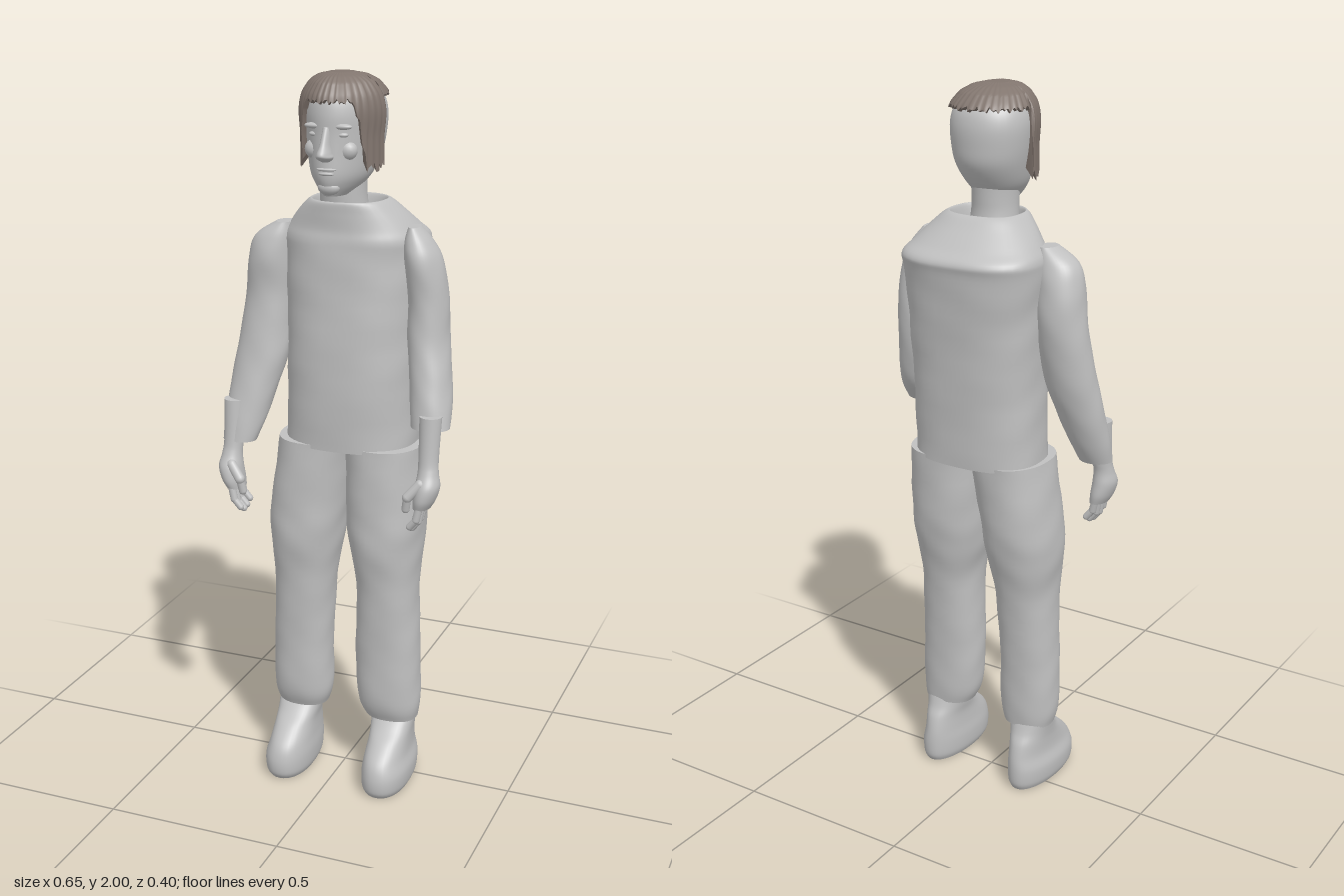
import * as THREE from 'three';

const grey = new THREE.MeshStandardMaterial({ color: 0xc0c0c0 });
grey.name = 'plain grey';
const brown = new THREE.MeshStandardMaterial({ color: 0x82766f, side: THREE.DoubleSide });
brown.name = 'hair brown';

// smooth interpolation of a list of cross-sections at index position t
function sectionAt(secs, t) {
  const i = Math.min(Math.floor(t), secs.length - 2), f = t - i;
  const at = k => secs[Math.max(0, Math.min(secs.length - 1, k))];
  return secs[0].map((_, c) => {
    const a = at(i - 1)[c], b = at(i)[c], d = at(i + 1)[c], e = at(i + 2)[c];
    return b + 0.5 * f * (d - a + f * (2 * a - 5 * b + 4 * d - e + f * (3 * (b - d) + e - a)));
  });
}

// point at angle a on a section [y, xMin, xMax, zMin, zMax]; +z is a = 90 degrees
function ringPoint([y, x0, x1, z0, z1], a, { power = 2, taper = 0, wrinkle = 0, grow = 0 } = {}) {
  const c = Math.cos(a), s = Math.sin(a);
  const bend = v => Math.sign(v) * Math.abs(v) ** (2 / power);
  const w = 1 + wrinkle * (Math.sin(y * 55 + 3 * Math.sin(2 * a)) + Math.sin(3 * a + y * 31));
  const rx = ((x1 - x0) / 2 + grow) * (1 - taper * s) * w, rz = ((z1 - z0) / 2 + grow) * w;
  return [(x0 + x1) / 2 + rx * bend(c), y, (z0 + z1) / 2 + rz * bend(s)];
}

function gridMesh(name, pos, rows, n, mat, caps) {
  const idx = [];
  for (let j = 0; j < rows; j++) {
    for (let i = 0; i < n; i++) {
      const a = j * n + i, b = j * n + (i + 1) % n;
      idx.push(a, a + n, b, b, a + n, b + n);
    }
  }
  // flat ends with their own vertices, so the rims stay crisp
  if (caps) {
    for (const row of [0, rows]) {
      const start = pos.length / 3, mid = [0, 0, 0];
      for (let i = 0; i < n; i++) {
        const p = pos.slice((row * n + i) * 3, (row * n + i) * 3 + 3);
        pos.push(...p);
        p.forEach((v, k) => { mid[k] += v / n; });
      }
      pos.push(...mid);
      for (let i = 0; i < n; i++) {
        const a = start + i, b = start + (i + 1) % n;
        if (row) idx.push(start + n, b, a); else idx.push(start + n, a, b);
      }
    }
  }
  const geo = new THREE.BufferGeometry();
  geo.setAttribute('position', new THREE.Float32BufferAttribute(pos, 3));
  geo.setIndex(idx);
  geo.computeVertexNormals();
  const mesh = new THREE.Mesh(geo, mat);
  mesh.name = name;
  return mesh;
}

// body through sections listed from the bottom up
function loft(name, secs, opts = {}) {
  const n = 40, rows = (secs.length - 1) * 6, pos = [];
  for (let j = 0; j <= rows; j++) {
    const sec = sectionAt(secs, j / 6);
    for (let i = 0; i < n; i++) pos.push(...ringPoint(sec, i / n * Math.PI * 2, opts));
  }
  return gridMesh(name, pos, rows, n, grey, true);
}

function blob(name, p, size) {
  const mesh = new THREE.Mesh(new THREE.SphereGeometry(1, 20, 12), grey);
  mesh.name = name;
  mesh.position.set(...p);
  mesh.scale.set(...size);
  return mesh;
}

function bone(name, from, to, r) {
  const a = new THREE.Vector3(...from), b = new THREE.Vector3(...to), d = b.clone().sub(a);
  const mesh = new THREE.Mesh(new THREE.CapsuleGeometry(r, d.length(), 5, 12), grey);
  mesh.name = name;
  mesh.position.copy(a).add(b).multiplyScalar(0.5);
  mesh.quaternion.setFromUnitVectors(new THREE.Vector3(0, 1, 0), d.normalize());
  return mesh;
}

const headSections = [
  [1.695, -.02, .04, .05, .14], [1.72, -.048, .068, -.015, .155], [1.75, -.068, .088, -.048, .162],
  [1.80, -.083, .103, -.08, .16], [1.85, -.092, .112, -.088, .158], [1.90, -.095, .115, -.088, .158],
  [1.94, -.086, .106, -.075, .149], [1.97, -.065, .085, -.043, .127],
  [1.985, -.04, .06, -.01, .104], [1.992, -.01, .03, .025, .075],
];

// hand hanging from the wrist at the origin, palm turned to -x
function makeHand(name) {
  const g = new THREE.Group();
  g.name = name;
  g.add(loft('palm', [
    [-.115, -.035, .012, -.025, .055], [-.09, -.034, .026, -.028, .062], [-.055, -.03, .036, -.024, .058],
    [-.02, -.026, .03, -.02, .04], [.02, -.027, .027, -.026, .03], [.13, -.03, .03, -.04, .02],
  ]));
  for (let i = 0; i < 4; i++) {
    const z = -.015 + i * .02, drop = [.0, .012, .016, .006][i];
    g.add(bone('finger', [-.008, -.1, z], [-.018, -.138 - drop, z + .002], .0105));
    g.add(bone('fingertip', [-.018, -.138 - drop, z + .002], [-.036, -.16 - drop, z], .0095));
  }
  g.add(bone('thumb', [-.01, -.045, .042], [-.04, -.08, .055], .014));
  g.add(bone('thumbTip', [-.04, -.08, .055], [-.046, -.115, .05], .011));
  return g;
}

function makeHead() {
  const g = new THREE.Group();
  g.name = 'head';
  g.add(loft('skull', headSections, { taper: .18 }));
  g.add(loft('neck', [[1.58, -.065, .085, -.05, .085], [1.66, -.055, .073, -.035, .095],
    [1.71, -.053, .07, -.035, .1], [1.77, -.055, .072, -.04, .1]]));
  g.add(loft('nose', [[1.786, -.002, .022, .13, .172], [1.797, -.011, .031, .13, .195],
    [1.808, -.008, .028, .13, .199], [1.83, -.003, .023, .13, .183], [1.872, 0, .02, .13, .162]]));
  for (const s of [-1, 1]) {
    g.add(blob('brow', [.01 + s * .036, 1.873, .141], [.029, .008, .013]));
    g.add(blob('eye', [.01 + s * .036, 1.852, .138], [.017, .007, .011]));
    g.add(blob('cheek', [.01 + s * .045, 1.812, .122], [.026, .025, .022]));
  }
  g.add(blob('upperLip', [.01, 1.766, .153], [.028, .005, .014]));
  g.add(blob('lowerLip', [.01, 1.755, .153], [.023, .006, .013]));
  g.add(blob('chin', [.01, 1.718, .137], [.03, .02, .02]));
  return g;
}

// shell over the crown, with long sides and a short back
function makeHair() {
  const n = 120, rows = 24, pos = [];
  const clamp = THREE.MathUtils.clamp;
  for (let j = 0; j <= rows; j++) {
    for (let i = 0; i < n; i++) {
      const a = i / n * Math.PI * 2, s = Math.sin(a);
      const jag = .012 * Math.sin(i * 2.4) + .008 * Math.sin(i * 1.1);
      const rise = THREE.MathUtils.smoothstep(s, .45, .8);
      const bottom = s < -.03 ? 1.945 + jag * .4 : 1.765 + .17 * rise + jag * (1 - .6 * rise);
      const y = bottom + (2 - bottom) * Math.sin(j / rows * Math.PI / 2);
      // find the skull section at this height and keep the sides full
      const skullY = clamp(y - .008, 1.84, 1.992);
      let k = 0;
      while (k < headSections.length - 2 && headSections[k + 1][0] < skullY) k++;
      const y0 = headSections[k][0], y1 = headSections[k + 1][0];
      const sec = sectionAt(headSections, k + clamp((skullY - y0) / (y1 - y0), 0, 1));
      const grow = j === rows ? -.018 : .011 + .0025 * Math.sin(i * 1.9);
      const p = ringPoint(sec, a, { taper: .13, grow });
      pos.push(p[0], y, p[2]);
    }
  }
  return gridMesh('hair', pos, rows, n, brown, true);
}

export function createModel() {
  const model = new THREE.Group();
  model.name = 'standingMan';
  const cloth = { wrinkle: .007 };

  // shirt body with a turned-in collar
  model.add(loft('torso', [
    [1.0, -.17, .2, -.155, .12], [1.2, -.165, .2, -.165, .125], [1.4, -.17, .205, -.18, .115],
    [1.53, -.18, .21, -.195, .107], [1.57, -.18, .21, -.2, .105], [1.6, -.16, .19, -.165, .1],
    [1.64, -.125, .155, -.12, .1], [1.67, -.092, .122, -.088, .1], [1.665, -.08, .11, -.075, .09],
    [1.6, -.07, .1, -.06, .08],
  ], { power: 2.4, taper: .06, wrinkle: .005 }));

  // sleeves
  model.add(loft('leftSleeve', [
    [1.09, .22, .325, .035, .12], [1.15, .208, .322, -.01, .11], [1.22, .2, .312, -.035, .095],
    [1.32, .185, .298, -.055, .075], [1.42, .185, .292, -.06, .068], [1.52, .175, .275, -.055, .075],
    [1.57, .175, .25, -.04, .065], [1.61, .185, .215, -.02, .045],
  ], cloth));
  model.add(loft('rightSleeve', [
    [1.0, -.32, -.225, .06, .14], [1.06, -.322, -.205, .03, .13], [1.15, -.315, -.18, -.005, .11],
    [1.25, -.303, -.155, -.035, .09], [1.4, -.283, -.145, -.06, .07], [1.5, -.272, -.14, -.055, .075],
    [1.56, -.25, -.14, -.04, .065], [1.6, -.19, -.145, -.02, .045],
  ], cloth));

  // hands
  const leftHand = makeHand('leftHand'), rightHand = makeHand('rightHand');
  leftHand.position.set(.283, 1.0, .115);
  rightHand.position.set(-.285, .985, .112);
  rightHand.scale.x = -1;
  model.add(leftHand, rightHand);

  // trouser legs
  model.add(loft('leftLeg', [
    [.19, .075, .225, -.05, .07], [.25, .052, .233, -.055, .088], [.4, .045, .23, -.06, .092],
    [.6, .048, .222, -.08, .105], [.72, .025, .23, -.108, .12], [.82, .015, .235, -.125, .12],
    [1.01, .01, .225, -.14, .115],
  ], { power: 2.2, ...cloth }));
  model.add(loft('rightLeg', [
    [.19, -.195, -.05, -.05, .07], [.25, -.207, -.035, -.055, .088], [.4, -.205, -.035, -.06, .092],
    [.6, -.2, -.025, -.08, .105], [.72, -.212, -.006, -.108, .12], [.82, -.21, .005, -.125, .12],
    [1.01, -.185, .03, -.14, .115],
  ], { power: 2.2, ...cloth }));

  // feet
  for (const [name, side, cx] of [['leftFoot', 1, .155], ['rightFoot', -1, .13]]) {
    const foot = loft(name, [
      [0, -.05, .062, -.08, .175], [.02, -.058, .07, -.09, .188], [.06, -.06, .072, -.092, .188],
      [.1, -.056, .062, -.088, .172], [.14, -.054, .06, -.078, .13], [.17, -.058, .062, -.062, .09],
      [.2, -.062, .066, -.05, .06],
    ], { power: 2.2, taper: -.1 });
    foot.position.x = side * cx;
    foot.scale.x = side;
    model.add(foot);
  }

  model.add(makeHead(), makeHair());
  return model;
}
